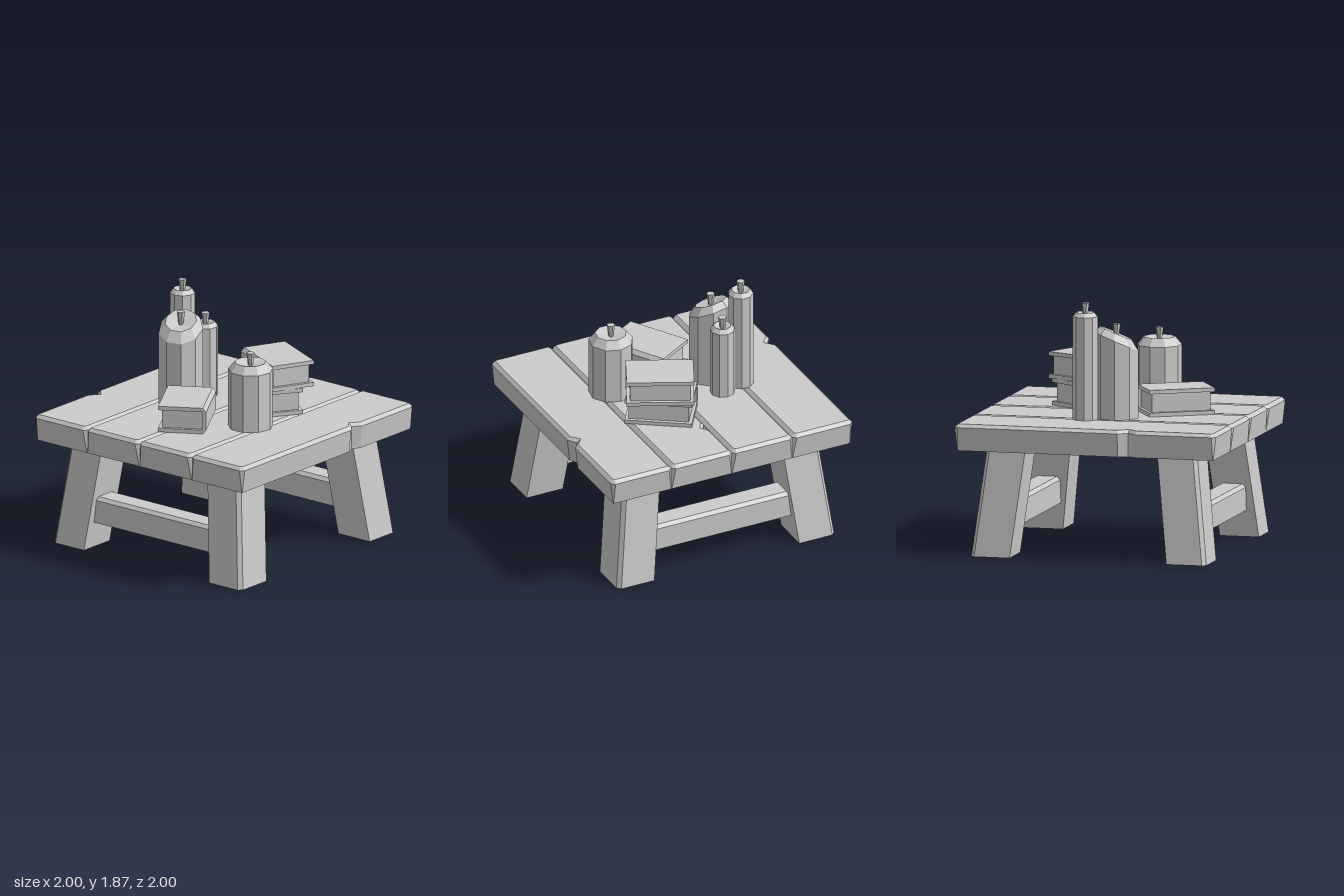
import * as THREE from 'three';

const material = new THREE.MeshStandardMaterial({ color: 0xcccccc, flatShading: true });

function add(parent, name, geometry, x = 0, y = 0, z = 0) {
  const mesh = new THREE.Mesh(geometry, material);
  mesh.name = name;
  mesh.position.set(x, y, z);
  parent.add(mesh);
  return mesh;
}

// Solid through matching [x, z] outlines at rising heights, counterclockwise from above
function loft(rings, heights) {
  const pos = [];
  const put = (level, i) => pos.push(rings[level][i][0], heights[level], rings[level][i][1]);
  const n = rings[0].length;
  const last = rings.length - 1;
  for (let k = 0; k < last; k++) {
    for (let i = 0; i < n; i++) {
      const j = (i + 1) % n;
      put(k, i); put(k, j); put(k + 1, j);
      put(k, i); put(k + 1, j); put(k + 1, i);
    }
  }
  for (const level of [0, last]) {
    const contour = rings[level].map(([x, z]) => new THREE.Vector2(x, -z));
    for (const [a, b, c] of THREE.ShapeUtils.triangulateShape(contour, [])) {
      put(level, a);
      put(level, level ? b : c);
      put(level, level ? c : b);
    }
  }
  const g = new THREE.BufferGeometry();
  g.setAttribute('position', new THREE.Float32BufferAttribute(pos, 3));
  g.computeVertexNormals();
  return g;
}

function shapeOf(points) {
  return new THREE.Shape(points.map(([x, y]) => new THREE.Vector2(x, y)));
}

// Plank with bevelled top, corners cut wider toward the top, and optional edge notches
function plank(index, leftNotch, rightNotch) {
  const x0 = -1 + index * 0.5;
  const levels = [
    { y: 0.8, outer: 0.02, inner: 0, end: 0.98, cut: 0.003, shallow: 0.03 },
    { y: 0.975, outer: 0, inner: 0, end: 1, cut: 0.028, shallow: 0.03 },
    { y: 1, outer: 0.025, inner: 0.025, end: 0.975, cut: 0.012, shallow: 0 },
  ];
  const rings = levels.map(({ outer, inner, end, cut, shallow }) => {
    const l = x0 + (index === 0 ? outer : inner);
    const r = x0 + 0.5 - (index === 3 ? outer : inner);
    const ring = [[l, -end + cut]];
    if (leftNotch) {
      const { z, half, depth } = leftNotch;
      ring.push([l, z - half], [x0 + depth - shallow, z], [l, z + half]);
    }
    ring.push([l, end - cut], [l + cut, end], [r - cut, end], [r, end - cut]);
    if (rightNotch) {
      const { z, half, depth } = rightNotch;
      ring.push([r, z + half], [x0 + 0.5 - depth + shallow, z], [r, z - half]);
    }
    ring.push([r, -end + cut], [r - cut, -end], [l + cut, -end]);
    return ring;
  });
  return loft(rings, levels.map((v) => v.y));
}

// Splayed square leg with a chamfered outer corner
function leg(sx, sz) {
  const c = 0.028;
  const ring = (a, b) => {
    const pts = [[a, a], [a, b], [b - c, b], [b, b - c], [b, a]].map(([x, z]) => [x * sx, z * sz]);
    return sx * sz < 0 ? pts.reverse() : pts;
  };
  return loft([ring(0.6, 0.9), ring(0.505, 0.805)], [0, 0.8]);
}

// Nine-sided candle with a bevelled rim, dished top and flared wick
function candle(parent, { x, z, r, rim, h, bevel, turn = 0, slope = [0, 0] }) {
  const group = new THREE.Group();
  group.name = 'candle';
  group.position.set(x, 1, z);
  parent.add(group);
  const profile = [[0, 0], [r, 0], [r, h - bevel], [rim, h], [0, h - 0.03]];
  const wax = new THREE.LatheGeometry(profile.map(([a, b]) => new THREE.Vector2(a, b)), 9);
  wax.rotateY(turn);
  const p = wax.attributes.position;
  for (let i = 0; i < p.count; i++) {
    if (p.getY(i) > 0.1) p.setY(i, p.getY(i) + slope[0] * p.getX(i) + slope[1] * p.getZ(i));
  }
  wax.computeVertexNormals();
  add(group, 'candleWax', wax);
  add(group, 'candleWick', new THREE.CylinderGeometry(0.031, 0.016, 0.11, 6), 0, h + 0.015, 0);
}

// Book: a folded cover with chamfered spine around an inset page block
function book(parent, x, y, z, angle) {
  const group = new THREE.Group();
  group.name = 'book';
  group.position.set(x, y, z);
  group.rotation.y = angle;
  parent.add(group);
  const cover = new THREE.ExtrudeGeometry(shapeOf([
    [-0.167, 0], [0.167, 0], [0.192, 0.03], [0.192, 0.17], [0.167, 0.2], [-0.167, 0.2],
    [-0.167, 0.17], [0.16, 0.17], [0.16, 0.03], [-0.167, 0.03],
  ]), { depth: 0.5, bevelEnabled: false });
  add(group, 'bookCover', cover, 0, 0, -0.25);
  add(group, 'bookPages', new THREE.BoxGeometry(0.3, 0.14, 0.45), 0.01, 0.1, 0);
}

export function createModel() {
  const model = new THREE.Group();
  model.name = 'tableWithBooksAndCandles';

  // Table top
  add(model, 'plank', plank(0, { z: 0.32, half: 0.07, depth: 0.085 }, null));
  add(model, 'plank', plank(1, null, null));
  add(model, 'plank', plank(2, { z: -0.58, half: 0.06, depth: 0.065 }, null));
  add(model, 'plank', plank(3, null, { z: -0.33, half: 0.065, depth: 0.08 }));

  // Legs and stretchers
  const bar = new THREE.ExtrudeGeometry(shapeOf([
    [-0.1, 0.2], [0.1, 0.2], [0.1, 0.375], [0.075, 0.4], [-0.075, 0.4], [-0.1, 0.375],
  ]), { depth: 1.24, bevelEnabled: false });
  bar.translate(0, 0, -0.62).rotateY(Math.PI / 2);
  for (const sz of [1, -1]) {
    for (const sx of [1, -1]) add(model, 'leg', leg(sx, sz));
    add(model, 'stretcher', bar, 0, 0, sz * 0.71);
  }

  // Books
  book(model, -0.013, 1, 0.433, 0.541);
  book(model, 0.23, 1, -0.275, -2.162);
  book(model, 0.262, 1.2, -0.32, -2.013);

  // Candles
  candle(model, { x: -0.503, z: -0.128, r: 0.095, rim: 0.068, h: 0.8, bevel: 0.032 });
  candle(model, { x: -0.326, z: -0.18, r: 0.093, rim: 0.066, h: 0.565, bevel: 0.032, turn: Math.PI });
  candle(model, { x: -0.355, z: 0.07, r: 0.167, rim: 0.118, h: 0.63, bevel: 0.06, slope: [-0.2, -0.4] });
  candle(model, { x: 0.41, z: 0.19, r: 0.167, rim: 0.118, h: 0.5, bevel: 0.06, turn: Math.PI });

  return model;
}
